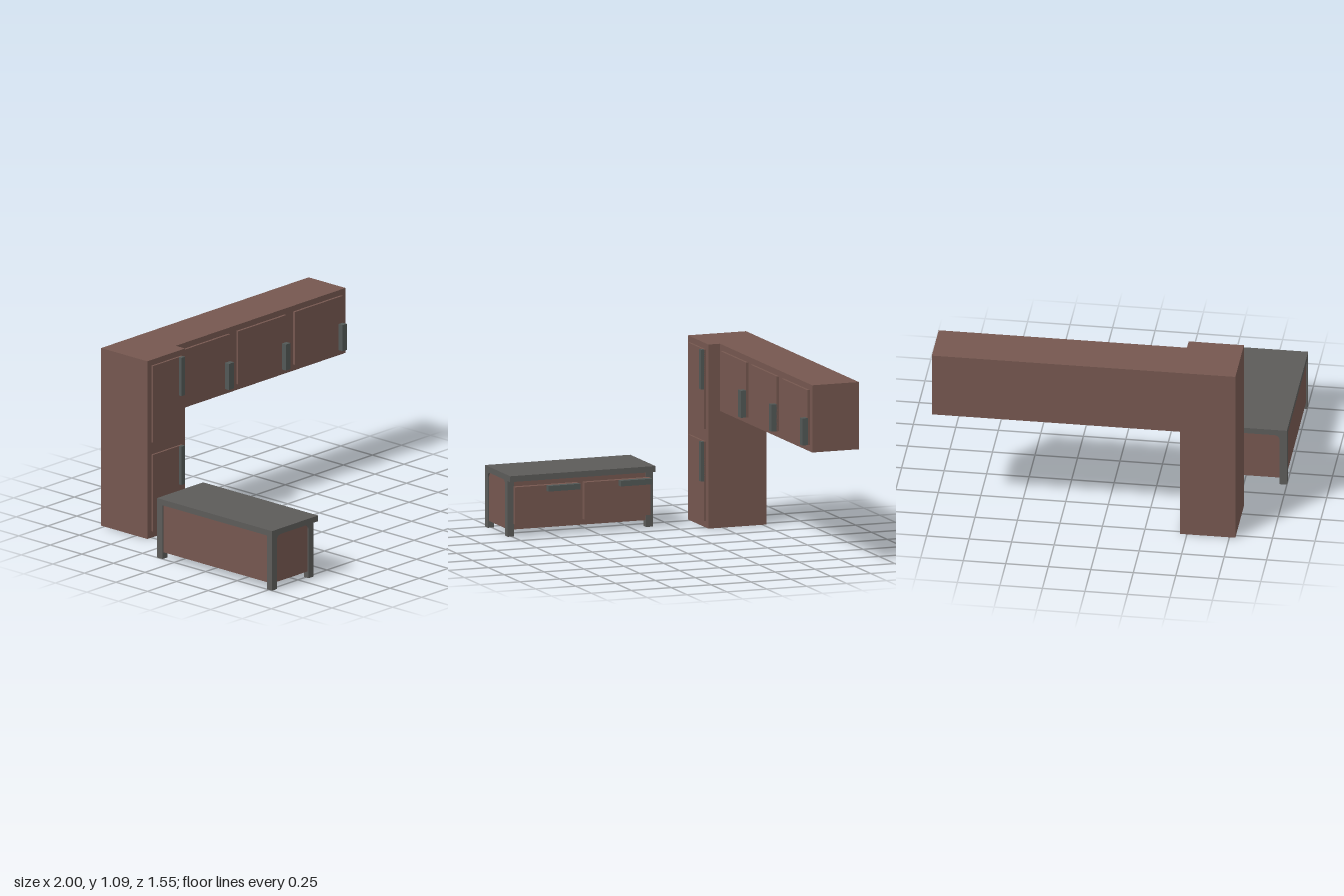
import * as THREE from 'three';

const brown = new THREE.MeshStandardMaterial({ color: 0x75574f });
brown.name = 'brown wood';
const grey = new THREE.MeshStandardMaterial({ color: 0x5c5b59 });
grey.name = 'grey frame';
const slate = new THREE.MeshStandardMaterial({ color: 0x525856 });
slate.name = 'slate handle';

// Box given by its minimum and maximum on each axis
function box(parent, name, material, [x0, x1], [y0, y1], [z0, z1]) {
  const mesh = new THREE.Mesh(new THREE.BoxGeometry(x1 - x0, y1 - y0, z1 - z0), material);
  mesh.position.set((x0 + x1) / 2, (y0 + y1) / 2, (z0 + z1) / 2);
  mesh.name = name;
  parent.add(mesh);
  return mesh;
}

function group(parent, name) {
  const g = new THREE.Group();
  g.name = name;
  parent.add(g);
  return g;
}

export function createModel() {
  const model = new THREE.Group();
  model.name = 'cabinetSet';

  // L-shaped carcass: tall column and wall-hung row
  const tall = group(model, 'tallCabinet');
  box(tall, 'tallBody', brown, [-0.785, -0.46], [0, 1.09], [-0.775, -0.41]);
  for (const [y0, y1] of [[0.04, 0.51], [0.585, 1.055]]) {
    box(tall, 'tallDoor', brown, [-0.75, -0.495], [y0, y1], [-0.415, -0.397]);
    box(tall, 'tallHandle', slate, [-0.525, -0.495], [y1 - 0.235, y1], [-0.4, -0.378]);
  }

  const wall = group(model, 'wallCabinet');
  box(wall, 'wallBody', brown, [-0.46, 1], [0.692, 1.09], [-0.775, -0.483]);
  for (const [x0, x1, w] of [[-0.42, -0.01, 0.045], [0.06, 0.475, 0.038], [0.55, 0.96, 0.035]]) {
    box(wall, 'wallDoor', brown, [x0, x1], [0.73, 1.055], [-0.49, -0.468]);
    box(wall, 'wallHandle', slate, [x1 - w, x1], [0.73, 0.89], [-0.472, -0.436]);
  }

  // Low chest facing +x
  const chest = group(model, 'lowChest');
  box(chest, 'chestTop', grey, [-1, -0.603], [0.33, 0.365], [-0.135, 0.775]);
  box(chest, 'chestBody', brown, [-0.992, -0.648], [0.04, 0.33], [-0.127, 0.767]);
  for (const x of [[-1, -0.957], [-0.685, -0.642]]) {
    for (const z of [[-0.135, -0.092], [0.737, 0.775]]) {
      box(chest, 'chestLeg', grey, x, [0, 0.33], z);
    }
  }

  // Small curved brackets where the legs meet the top, on both ends
  const fillet = new THREE.Shape();
  fillet.moveTo(0, 0);
  fillet.lineTo(0, -0.03);
  fillet.quadraticCurveTo(0.002, -0.002, 0.03, 0);
  fillet.closePath();
  const bracket = new THREE.ExtrudeGeometry(fillet, { depth: 0.008, bevelEnabled: false, curveSegments: 6 });
  for (const z of [-0.135, 0.767]) {
    const left = new THREE.Mesh(bracket, grey);
    left.position.set(-0.957, 0.33, z);
    const right = new THREE.Mesh(bracket, grey);
    right.rotation.y = Math.PI;
    right.position.set(-0.685, 0.33, z + 0.008);
    left.name = right.name = 'cornerBracket';
    chest.add(left, right);
  }

  // Drawer fronts with a bar handle at the upper rear corner
  for (const [z0, z1] of [[-0.11, 0.305], [0.343, 0.74]]) {
    box(chest, 'drawerFront', brown, [-0.65, -0.616], [0.075, 0.295], [z0, z1]);
    box(chest, 'drawerHandle', slate, [-0.618, -0.583], [0.262, 0.295], [z0, z0 + 0.2]);
  }

  return model;
}
